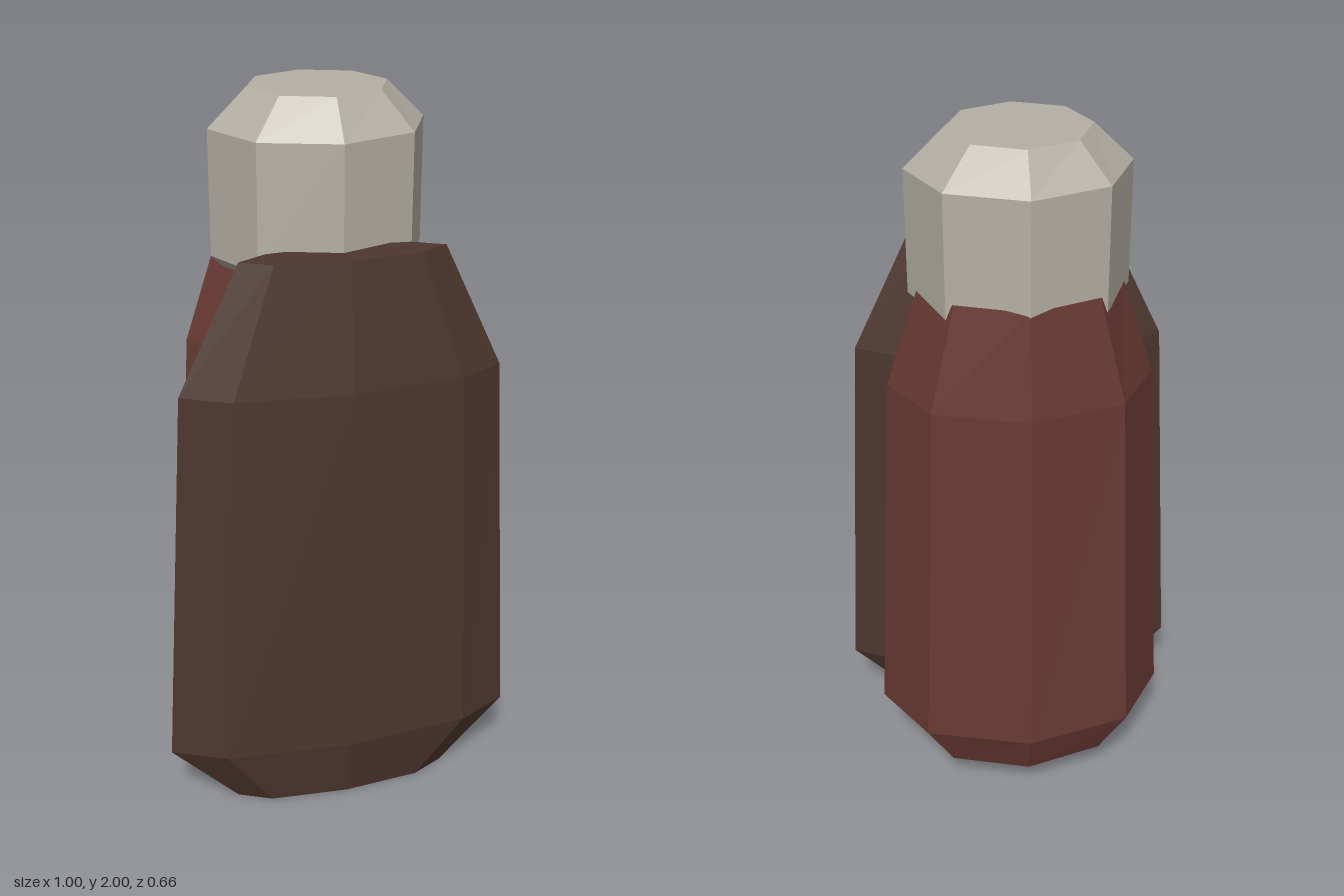
import * as THREE from 'three';

const SIDES = 8;

// Faceted closed solid through elliptical rings [y, radiusX, radiusZ], listed bottom to top.
function loft(rings, centreZ) {
  const positions = [];
  const index = [];
  for (const [y, rx, rz] of rings) {
    for (let i = 0; i < SIDES; i++) {
      const a = (i / SIDES) * Math.PI * 2;
      positions.push(Math.sin(a) * rx, y, centreZ + Math.cos(a) * rz);
    }
  }
  for (let r = 0; r < rings.length - 1; r++) {
    for (let i = 0; i < SIDES; i++) {
      const j = (i + 1) % SIDES;
      const a = r * SIDES + i, b = r * SIDES + j;
      index.push(a, b, b + SIDES, a, b + SIDES, a + SIDES);
    }
  }
  // end caps
  const top = (rings.length - 1) * SIDES;
  for (let i = 1; i < SIDES - 1; i++) {
    index.push(0, i + 1, i);
    index.push(top, top + i, top + i + 1);
  }
  const indexed = new THREE.BufferGeometry();
  indexed.setAttribute('position', new THREE.Float32BufferAttribute(positions, 3));
  indexed.setIndex(index);
  const geometry = indexed.toNonIndexed();
  geometry.computeVertexNormals();
  return geometry;
}

function material(name, color) {
  const m = new THREE.MeshStandardMaterial({ color, flatShading: true });
  m.name = name;
  return m;
}

export function createModel() {
  const group = new THREE.Group();
  const add = (name, rings, centreZ, mat) => {
    const mesh = new THREE.Mesh(loft(rings, centreZ), mat);
    mesh.name = name;
    group.add(mesh);
  };

  // Wide flat front panel
  add('frontPanel', [
    [0, 0.31, 0.064],
    [0.19, 0.5, 0.103],
    [1.28, 0.437, 0.1],
    [1.625, 0.273, 0.065],
  ], 0.23, material('dark brown', 0x4d372e));

  // Rounded rear body
  add('rearBody', [
    [0.11, 0.31, 0.215],
    [0.25, 0.415, 0.267],
    [1.32, 0.356, 0.247],
    [1.61, 0.262, 0.205],
  ], -0.065, material('red brown', 0x693a33));

  // Pale cap with chamfered ends
  add('cap', [
    [1.46, 0.187, 0.178],
    [1.565, 0.29, 0.25],
    [1.9, 0.29, 0.25],
    [2, 0.187, 0.178],
  ], -0.022, material('pale stone', 0xb5b0a5));

  return group;
}
